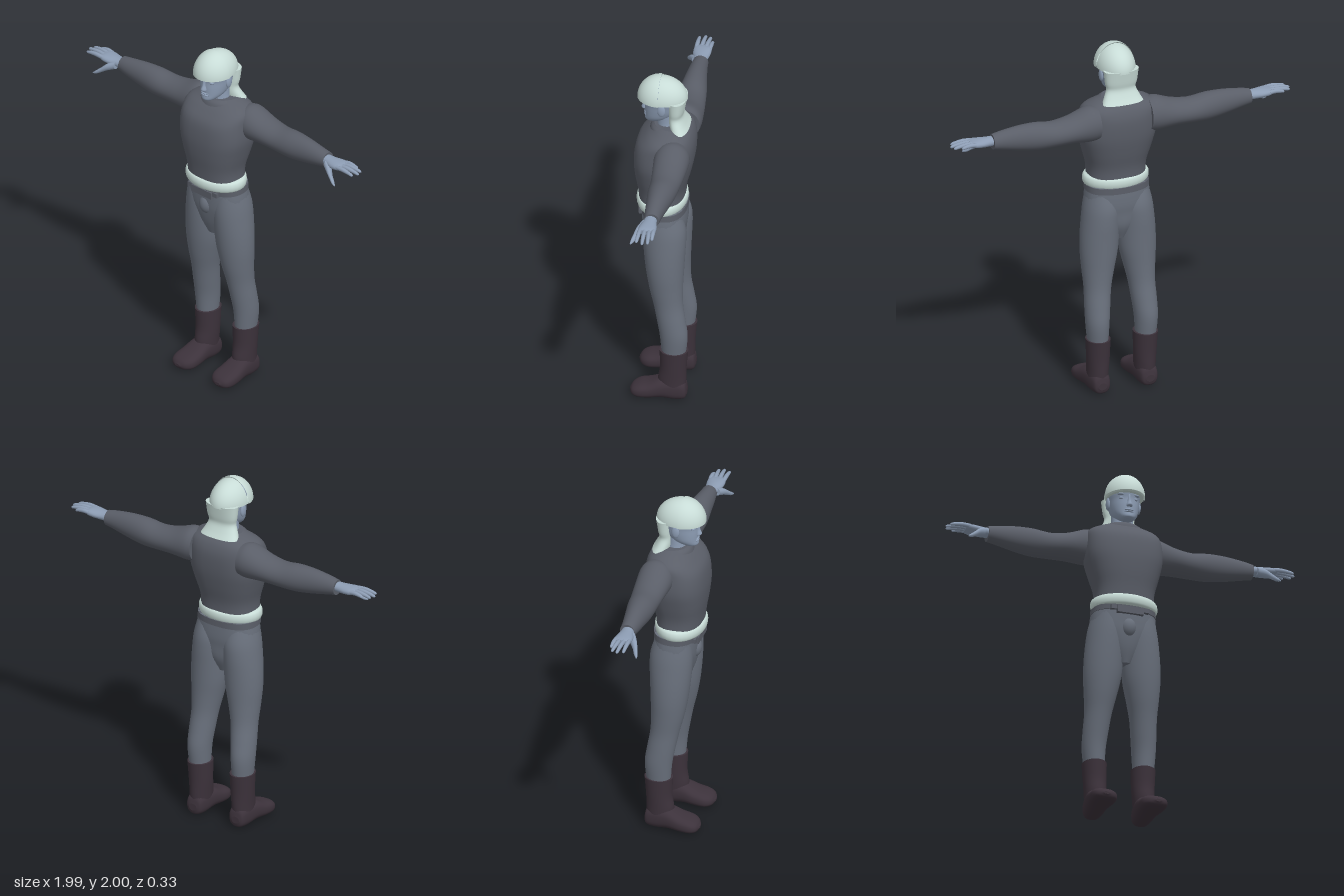
import * as THREE from 'three';

const paint = (name, color) => Object.assign(new THREE.MeshStandardMaterial({ color }), { name });
const shirt = paint('charcoal cloth', 0x5a5e68);
const trousers = paint('slate cloth', 0x69707c);
const leather = paint('dark leather', 0x3c323b);
const pale = paint('pale hair', 0xc8dcd7);
pale.side = THREE.DoubleSide;
const skin = paint('blue grey skin', 0x8d9db4);

// Smooth skin over cross-sections [t, uMin, uMax, vMin, vMax, squareness].
// Axis y: u = z, v = x.  Axis x: u = y, v = z.  Axis z: u = x, v = y.
function loft(axis, rows, sides = 32, steps = 4) {
  const n = rows.length;
  const full = rows.map(r => [...r.slice(0, 5), r[5] ?? 2]);
  const spline = new THREE.CubicInterpolant(full.map((_, i) => i), full.flat(), 6, new Array(6));
  const order = { x: (t, u, v) => [t, u, v], y: (t, u, v) => [v, t, u], z: (t, u, v) => [u, v, t] }[axis];
  const pos = [], index = [], rings = (n - 1) * steps + 1;
  const addRing = k => {
    const [t, u0, u1, v0, v1, e] = spline.evaluate(k / steps);
    for (let j = 0; j < sides; j++) {
      const a = j / sides * Math.PI * 2, c = Math.cos(a), s = Math.sin(a);
      const p = Math.sign(c) * Math.abs(c) ** (2 / e), q = Math.sign(s) * Math.abs(s) ** (2 / e);
      pos.push(...order(t, (u0 + u1) / 2 + p * (u1 - u0) / 2, (v0 + v1) / 2 + q * (v1 - v0) / 2));
    }
    return [t, (u0 + u1) / 2, (v0 + v1) / 2];
  };
  for (let k = 0; k < rings; k++) addRing(k);
  for (let k = 0; k < rings - 1; k++) for (let j = 0; j < sides; j++) {
    const a = k * sides + j, b = k * sides + (j + 1) % sides;
    index.push(a, b, b + sides, a, b + sides, a + sides);
  }
  for (const k of [0, rings - 1]) {
    const base = pos.length / 3;
    pos.push(...order(...addRing(k)));
    for (let j = 0; j < sides; j++) {
      const a = base + j, b = base + (j + 1) % sides, m = base + sides;
      index.push(...(k ? [a, b, m] : [b, a, m]));
    }
  }
  const g = new THREE.BufferGeometry();
  g.setAttribute('position', new THREE.Float32BufferAttribute(pos, 3));
  g.setIndex(index);
  g.computeVertexNormals();
  return g;
}

// Upright section symmetric about x = 0
const row = (y, back, front, half, e) => [y, back, front, -half, half, e];

const ellipsoid = (x, y, z, rx, ry, rz) =>
  new THREE.SphereGeometry(1, 20, 14).scale(rx, ry, rz).translate(x, y, z);

function mirrored(geometry) {
  const g = geometry.clone().scale(-1, 1, 1), a = g.index.array;
  for (let i = 0; i < a.length; i += 3) [a[i], a[i + 1]] = [a[i + 1], a[i]];
  g.computeVertexNormals();
  return g;
}

export function createModel() {
  const model = new THREE.Group();
  model.name = 'figure';
  const add = (name, geometry, material) => {
    const mesh = new THREE.Mesh(geometry, material);
    mesh.name = name;
    model.add(mesh);
  };
  const pair = (name, geometry, material) => {
    add(name + 'Left', geometry, material);
    add(name + 'Right', mirrored(geometry), material);
  };

  // Pullover body and collar
  add('torso', loft('y', [
    row(1.2, -0.11, 0.135, 0.165, 2.3), row(1.3, -0.115, 0.145, 0.165, 2.4),
    row(1.4, -0.14, 0.16, 0.19, 2.5), row(1.5, -0.16, 0.165, 0.212, 2.6),
    row(1.6, -0.165, 0.15, 0.21, 2.6), row(1.66, -0.15, 0.105, 0.2, 2.5),
    row(1.695, -0.125, 0.065, 0.15, 2.2), row(1.715, -0.105, 0.045, 0.1, 2)]), shirt);
  add('collar', loft('y', [
    row(1.675, -0.115, 0.085, 0.125), row(1.7, -0.11, 0.075, 0.115), row(1.715, -0.095, 0.06, 0.09)]), shirt);

  // Sleeves
  pair('sleeve', loft('x', [
    [0.15, 1.5, 1.685, -0.16, 0.02], [0.2, 1.495, 1.69, -0.165, 0.028], [0.3, 1.503, 1.655, -0.158, 0.02],
    [0.4, 1.5, 1.64, -0.148, 0.012], [0.5, 1.496, 1.65, -0.137, 0.01], [0.6, 1.508, 1.648, -0.12, 0.0],
    [0.7, 1.528, 1.635, -0.105, -0.01], [0.755, 1.54, 1.625, -0.1, -0.018]]), shirt);

  // Hands: palm, four fingers and a thumb
  pair('palm', loft('x', [
    [0.73, 1.56, 1.615, -0.085, -0.025], [0.78, 1.56, 1.612, -0.09, -0.015], [0.82, 1.563, 1.612, -0.098, -0.004],
    [0.86, 1.572, 1.61, -0.1, -0.002, 2.5], [0.885, 1.58, 1.605, -0.093, -0.008, 2.5]], 20), skin);
  const fingers = [[-0.088, -0.092, 0.945], [-0.064, -0.075, 0.985], [-0.04, -0.046, 0.995], [-0.015, -0.013, 0.98]];
  fingers.forEach(([z0, z1, tip], i) => {
    const at = (f, r, y) => {
      const x = 0.86 + (tip - 0.86) * f, z = z0 + (z1 - z0) * f;
      return [x, y - r, y + r, z - r, z + r];
    };
    pair('finger' + (i + 1), loft('x', [
      at(0, 0.012, 1.594), at(0.4, 0.012, 1.597), at(0.75, 0.01, 1.593),
      at(0.93, 0.008, 1.589), at(1, 0.002, 1.588)], 12, 3), skin);
  });
  pair('thumb', loft('x', [
    [0.775, 1.555, 1.6, -0.045, -0.005], [0.815, 1.54, 1.583, -0.025, 0.016], [0.845, 1.524, 1.555, 0, 0.027],
    [0.87, 1.51, 1.533, 0.014, 0.036], [0.89, 1.508, 1.515, 0.03, 0.038]], 14), skin);

  // Trousers: seat and two legs
  add('hips', loft('y', [
    row(0.88, -0.07, 0.06, 0.05), row(0.96, -0.105, 0.09, 0.13), row(1.04, -0.115, 0.108, 0.175, 2.3),
    row(1.1, -0.122, 0.115, 0.184, 2.4), row(1.2, -0.122, 0.122, 0.174, 2.4)]), trousers);
  pair('leg', loft('y', [
    [0.28, -0.135, -0.005, 0.085, 0.195], [0.4, -0.146, 0.005, 0.078, 0.206], [0.5, -0.133, 0.022, 0.067, 0.206],
    [0.6, -0.118, 0.042, 0.054, 0.203], [0.7, -0.116, 0.066, 0.032, 0.209], [0.8, -0.12, 0.084, 0.01, 0.215],
    [0.9, -0.125, 0.096, 0.0, 0.213], [1.0, -0.13, 0.104, -0.005, 0.204], [1.08, -0.126, 0.106, -0.005, 0.193],
    [1.17, -0.1, 0.1, 0.02, 0.172]]), trousers);
  add('fly', ellipsoid(0, 1.075, 0.085, 0.045, 0.06, 0.045), trousers);

  // Boots: shaft and foot
  pair('bootShaft', loft('y', [
    [0.05, -0.135, 0.01, 0.085, 0.195], [0.12, -0.138, 0.016, 0.08, 0.196], [0.2, -0.14, 0.005, 0.075, 0.2],
    [0.31, -0.149, 0.008, 0.072, 0.206]]), leather);
  pair('bootFoot', loft('z', [
    [-0.143, 0.115, 0.165, 0.03, 0.07], [-0.13, 0.093, 0.185, 0.006, 0.11, 2.5], [-0.08, 0.082, 0.196, 0, 0.13, 2.6],
    [-0.01, 0.076, 0.205, 0.006, 0.128, 2.4], [0.06, 0.07, 0.214, 0.004, 0.098, 2.5],
    [0.115, 0.072, 0.214, 0.004, 0.083, 2.6], [0.15, 0.095, 0.198, 0.012, 0.066, 2.4],
    [0.166, 0.13, 0.165, 0.03, 0.045]]), leather);

  // Pale waistband with a dark belt and buckle beneath
  add('waistband', loft('y', [
    row(1.19, -0.105, 0.135, 0.165), row(1.198, -0.118, 0.149, 0.181), row(1.222, -0.124, 0.155, 0.187),
    row(1.245, -0.12, 0.15, 0.181), row(1.255, -0.105, 0.135, 0.165)]), pale);
  add('belt', loft('y', [row(1.165, -0.124, 0.127, 0.18, 2.4), row(1.2, -0.124, 0.13, 0.178, 2.4)]), shirt);
  add('buckle', new THREE.BoxGeometry(0.15, 0.04, 0.03).translate(0, 1.162, 0.12), shirt);
  pair('beltTab', new THREE.BoxGeometry(0.035, 0.025, 0.03).translate(0.09, 1.172, 0.112), shirt);

  // Neck and head
  add('neck', loft('y', [row(1.66, -0.08, 0.045, 0.07), row(1.72, -0.065, 0.045, 0.06),
    row(1.8, -0.07, 0.045, 0.062)]), skin);
  add('head', loft('y', [
    row(1.722, 0.04, 0.098, 0.024), row(1.732, 0.01, 0.112, 0.042), row(1.76, -0.04, 0.11, 0.065),
    row(1.8, -0.08, 0.111, 0.078), row(1.84, -0.095, 0.11, 0.085), row(1.88, -0.1, 0.116, 0.09),
    row(1.93, -0.08, 0.1, 0.08)]), skin);
  add('nose', loft('y', [
    [1.785, 0.1, 0.114, -0.012, 0.012], [1.793, 0.09, 0.131, -0.017, 0.017],
    [1.82, 0.09, 0.122, -0.01, 0.01], [1.858, 0.09, 0.114, -0.009, 0.009]], 16), skin);
  [1.758, 1.768].forEach((y, i) =>
    add(i ? 'upperLip' : 'lowerLip', ellipsoid(0, y, 0.104, 0.026, 0.006, 0.012), skin));
  pair('eyelid', ellipsoid(0.036, 1.838, 0.092, 0.017, 0.009, 0.011), skin);
  pair('brow', ellipsoid(0.037, 1.86, 0.094, 0.026, 0.008, 0.015), skin);
  pair('ear', ellipsoid(0.087, 1.832, 0.008, 0.011, 0.036, 0.022).rotateX(0), skin);

  // Hair: overhanging front shell, rear shell and a flared nape
  const shell = (phi, rx, ry, rz) =>
    new THREE.SphereGeometry(1, 28, 16, phi, Math.PI, 0, Math.PI / 2).scale(rx, ry, rz).translate(0, 1.87, 0.025);
  add('hairFront', shell(0, 0.111, 0.13, 0.128), pale);
  add('hairBack', shell(Math.PI, 0.106, 0.126, 0.147), pale);
  add('fringe', loft('y', [
    row(1.866, -0.08, 0.138, 0.1), row(1.878, -0.09, 0.147, 0.106), row(1.895, -0.09, 0.14, 0.1)]), pale);
  add('nape', loft('y', [
    row(1.695, -0.135, -0.035, 0.118, 2.4), row(1.73, -0.115, -0.025, 0.1, 2.3), row(1.77, -0.1, -0.02, 0.084, 2.3),
    row(1.81, -0.107, -0.018, 0.092, 2.3), row(1.88, -0.119, -0.01, 0.1, 2.2)]), pale);
  return model;
}
